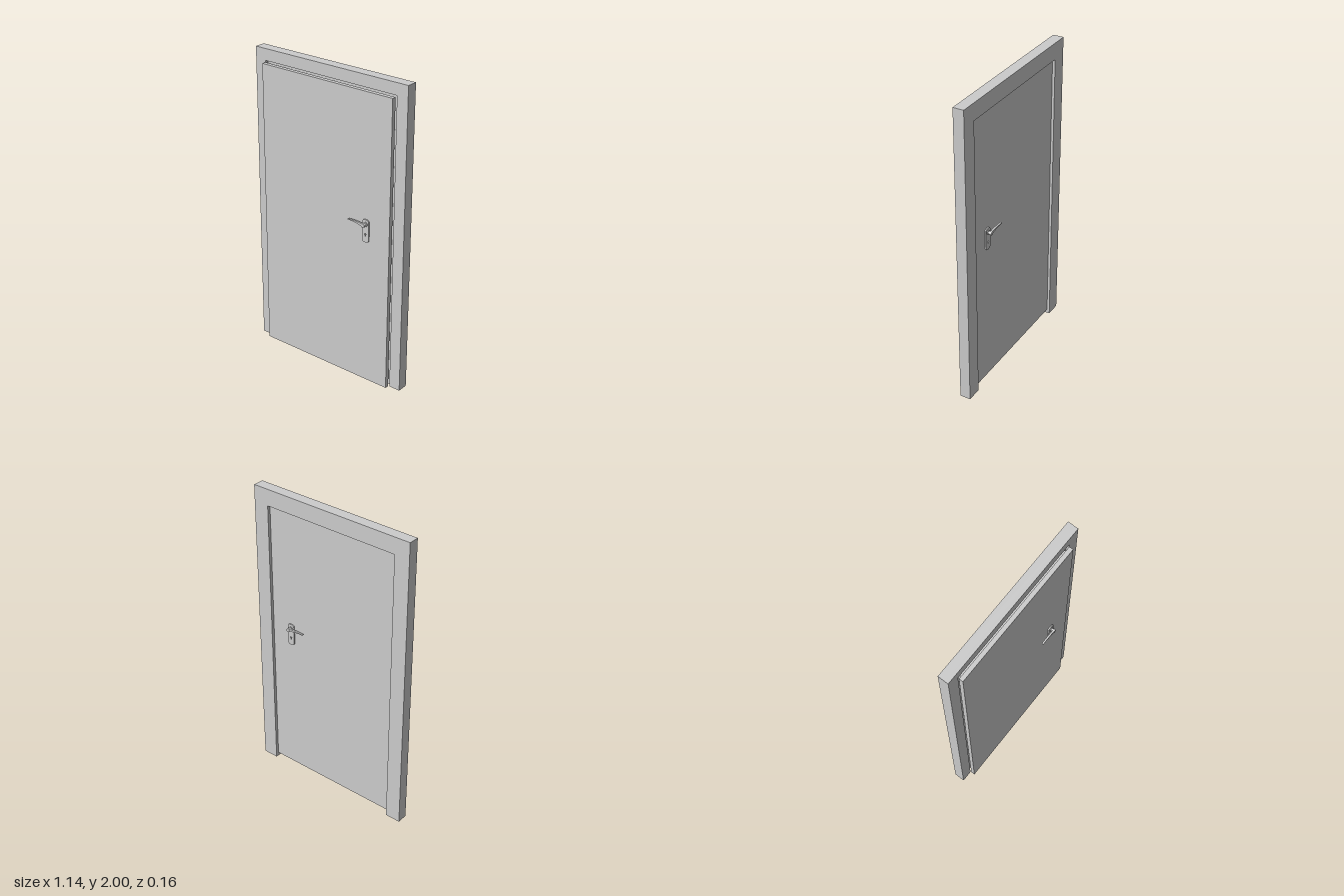
import * as THREE from 'three';

const mat = new THREE.MeshStandardMaterial({ color: 0xcccccc });

function add(parent, name, geo, x = 0, y = 0, z = 0) {
  const mesh = new THREE.Mesh(geo, mat);
  mesh.name = name;
  mesh.position.set(x, y, z);
  parent.add(mesh);
  return mesh;
}

// Extrusion centred on z = 0, so it serves either side of the door
function slab(shape, depth, curveSegments = 10) {
  return new THREE.ExtrudeGeometry(shape, { depth, bevelEnabled: false, curveSegments })
    .translate(0, 0, -depth / 2);
}

// Upside-down U outline: two posts and a head, open at the floor
function portal(outerW, outerH, innerW, innerH) {
  return new THREE.Shape([
    [-outerW, 0], [-innerW, 0], [-innerW, innerH], [innerW, innerH],
    [innerW, 0], [outerW, 0], [outerW, outerH], [-outerW, outerH],
  ].map(([x, y]) => new THREE.Vector2(x, y)));
}

function plateShape() {
  const w = 0.024, b = -0.12, t = 0.03, r = 0.018;
  const s = new THREE.Shape();
  s.moveTo(-w, b + r);
  s.quadraticCurveTo(-w, b, 0, b);
  s.quadraticCurveTo(w, b, w, b + r);
  s.lineTo(w, t - r);
  s.quadraticCurveTo(w, t, 0, t);
  s.quadraticCurveTo(-w, t, -w, t - r);
  s.closePath();
  // Keyhole: round top with a slot below
  const k = new THREE.Path();
  k.moveTo(-0.003, -0.08);
  k.lineTo(0.003, -0.08);
  k.lineTo(0.003, -0.07);
  k.absarc(0, -0.066, 0.006, -0.9, Math.PI + 0.9, false);
  k.lineTo(-0.003, -0.08);
  s.holes.push(k);
  return s;
}

// Gently arched lever tapering to its tip
function leverShape() {
  const s = new THREE.Shape();
  s.moveTo(0.004, 0.010);
  s.quadraticCurveTo(-0.05, 0.018, -0.115, 0.013);
  s.lineTo(-0.115, 0.008);
  s.quadraticCurveTo(-0.05, 0.010, -0.004, -0.010);
  s.closePath();
  return s;
}

// Handle set on a door face at z, facing along side (+1 front, -1 back)
function handleSet(name, faceZ, side) {
  const g = new THREE.Group();
  g.name = name;
  g.position.set(0.315, 1.09, faceZ);
  const round = (r, d) => new THREE.CylinderGeometry(r, r, d, 20).rotateX(Math.PI / 2);
  add(g, 'handlePlate', slab(plateShape(), 0.008), 0, 0, side * 0.004);
  add(g, 'handleCollar', round(0.015, 0.004), 0, 0, side * 0.010);
  add(g, 'handleSpindle', round(0.009, 0.014), 0, 0, side * 0.017);
  add(g, 'handleHub', round(0.012, 0.015), 0, 0, side * 0.0285);
  add(g, 'handleLever', slab(leverShape(), 0.012), 0, 0, side * 0.0285);
  return g;
}

export function createModel() {
  const model = new THREE.Group();
  model.name = 'door';

  // Frame: main depth plus a wider front rebate
  const frame = new THREE.Group();
  frame.name = 'doorFrame';
  add(frame, 'frameBack', slab(portal(0.568, 2, 0.466, 1.892), 0.05), 0, 0, -0.037);
  add(frame, 'frameRebate', slab(portal(0.568, 2, 0.492, 1.925), 0.02), 0, 0, -0.002);
  model.add(frame);

  // Leaf: inner body with an overlapping front lip
  const leaf = new THREE.Group();
  leaf.name = 'doorLeaf';
  add(leaf, 'leafBody', new THREE.BoxGeometry(0.928, 1.862, 0.058), -0.001, 0.959, -0.016);
  add(leaf, 'leafLip', new THREE.BoxGeometry(0.976, 1.913, 0.027), -0.002, 0.9585, 0.0265);
  model.add(leaf);

  model.add(handleSet('frontHandle', 0.04, 1));
  model.add(handleSet('backHandle', -0.045, -1));
  return model;
}
